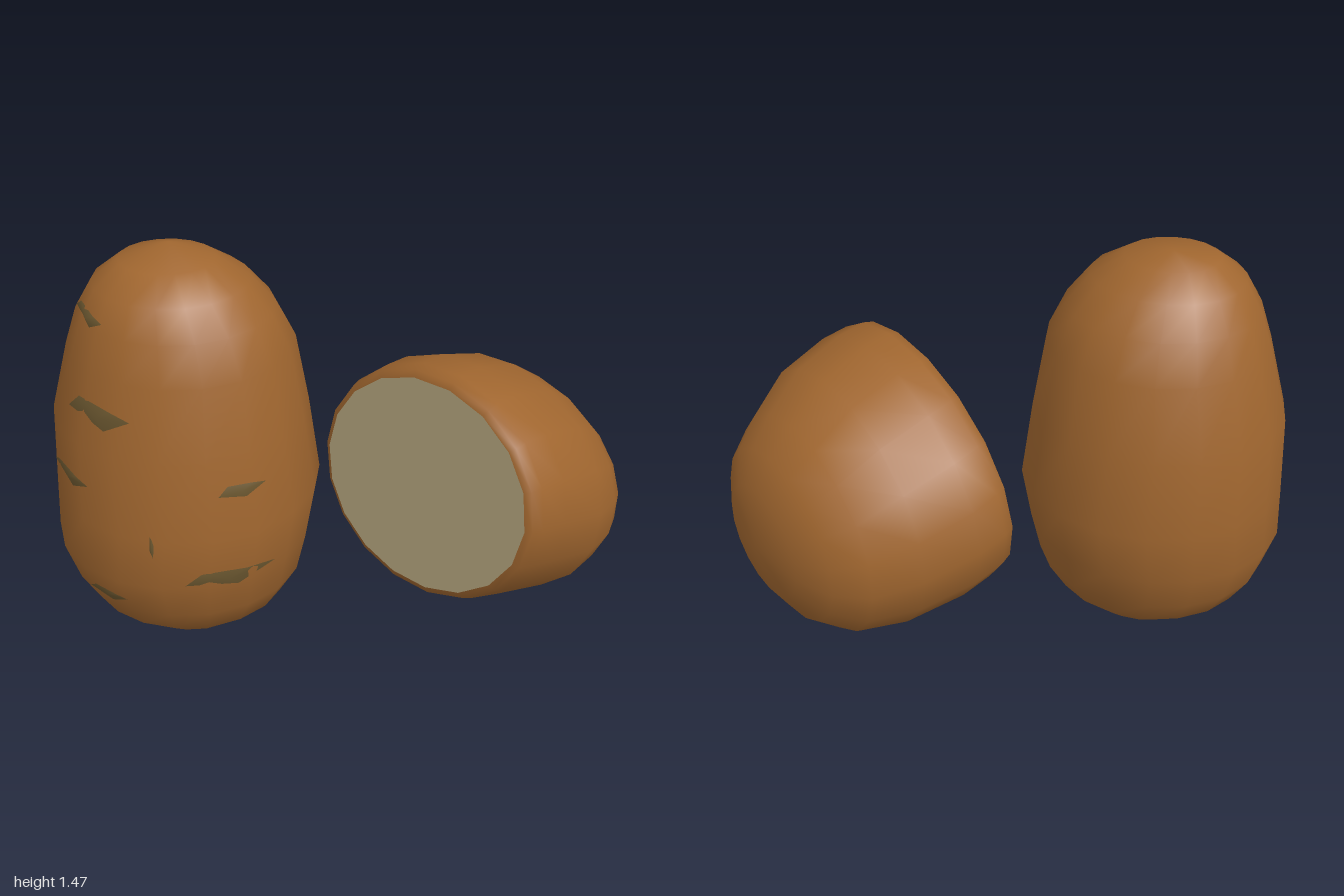
import * as THREE from 'three';
import { mergeVertices } from 'three/addons/utils/BufferGeometryUtils.js';

const SIDES = 18;
const skinMat = new THREE.MeshStandardMaterial({ color: 0xa0662f });
const fleshMat = new THREE.MeshStandardMaterial({ color: 0xb8a880 });
const eyeMat = new THREE.MeshStandardMaterial({ color: 0x6b5730, side: THREE.DoubleSide });

// Skin stretched over closed rings; point(row, angle) gives each vertex
function loft(rows, point) {
  const pos = [], index = [];
  rows.forEach((row, i) => {
    for (let j = 0; j < SIDES; j++) {
      pos.push(...point(row, (j / SIDES) * Math.PI * 2));
      if (i === 0) continue;
      const k = (j + 1) % SIDES, lo = (i - 1) * SIDES, hi = i * SIDES;
      index.push(lo + j, lo + k, hi + k, lo + j, hi + k, hi + j);
    }
  });
  const geo = new THREE.BufferGeometry();
  geo.setAttribute('position', new THREE.Float32BufferAttribute(pos, 3));
  geo.setIndex(index);
  const merged = mergeVertices(geo, 1e-4);
  merged.computeVertexNormals();
  return merged;
}

function add(parent, name, geo, mat) {
  const mesh = new THREE.Mesh(geo, mat);
  mesh.name = name;
  parent.add(mesh);
}

// Whole potato: height, left/right x, back/front z
const WHOLE = [
  [0.0, -0.54, -0.54, 0.08, 0.08],
  [0.005, -0.63, -0.46, 0.0, 0.18],
  [0.05, -0.74, -0.32, -0.1, 0.31],
  [0.14, -0.89, -0.2, -0.2, 0.41],
  [0.25, -0.955, -0.135, -0.27, 0.475],
  [0.4, -1.0, -0.1, -0.32, 0.52],
  [0.6, -0.99, -0.065, -0.35, 0.53],
  [0.88, -0.975, -0.1, -0.32, 0.49],
  [1.13, -0.905, -0.14, -0.26, 0.44],
  [1.26, -0.86, -0.2, -0.2, 0.39],
  [1.36, -0.8, -0.28, -0.13, 0.34],
  [1.43, -0.71, -0.39, -0.04, 0.24],
  [1.465, -0.55, -0.55, 0.06, 0.06],
];

function wholePoint([y, x0, x1, z0, z1], a) {
  return [(x0 + x1) / 2 + ((x1 - x0) / 2) * Math.sin(a), y, (z0 + z1) / 2 + ((z1 - z0) / 2) * Math.cos(a)];
}

// Point on the front of the whole potato at a given x and y
function onFront(x, y, lift) {
  const i = WHOLE.findIndex((r) => r[0] > y);
  const lo = WHOLE[i - 1], hi = WHOLE[i];
  const t = (y - lo[0]) / (hi[0] - lo[0]);
  const [, x0, x1, z0, z1] = lo.map((v, n) => v + (hi[n] - v) * t);
  const s = THREE.MathUtils.clamp((x - (x0 + x1) / 2) / ((x1 - x0) / 2), -0.995, 0.995);
  const a = Math.asin(s);
  const p = wholePoint([y, x0, x1, z0, z1], a);
  return [p[0] + Math.sin(a) * lift, y, p[2] + Math.cos(a) * lift];
}

// Eyes: x, y, width, height
const EYES = [
  [-0.78, 1.285, 0.12, 0.04],
  [-0.74, 1.005, 0.23, 0.08],
  [-0.87, 0.74, 0.16, 0.05],
  [-0.28, 0.765, 0.14, 0.05],
  [-0.33, 0.43, 0.28, 0.07],
  [-0.76, 0.305, 0.15, 0.05],
  [-0.57, 0.58, 0.015, 0.09],
];

function eyeGeometry([x, y, w, h]) {
  const outline = [[-0.5, -0.15], [0.1, -0.5], [0.5, 0.1], [0.2, 0.35], [-0.3, 0.5]];
  const pos = [...onFront(x, y, 0.008)], index = [];
  outline.forEach(([u, v], i) => {
    pos.push(...onFront(x + u * w, y + v * h, 0.003));
    index.push(0, i + 1, ((i + 1) % outline.length) + 1);
  });
  const geo = new THREE.BufferGeometry();
  geo.setAttribute('position', new THREE.Float32BufferAttribute(pos, 3));
  geo.setIndex(index);
  geo.computeVertexNormals();
  return geo;
}

// Half potato: depth behind the cut, low/high across, low/high y
const HALF = [
  [0.0, -0.48, 0.48, 0.2, 1.02],
  [0.01, -0.505, 0.505, 0.175, 1.045],
  [0.05, -0.52, 0.515, 0.155, 1.055],
  [0.16, -0.53, 0.52, 0.12, 1.045],
  [0.36, -0.49, 0.51, 0.07, 0.98],
  [0.52, -0.417, 0.445, 0.08, 0.87],
  [0.615, -0.318, 0.385, 0.14, 0.77],
  [0.675, -0.18, 0.27, 0.24, 0.65],
  [0.71, 0.04, 0.04, 0.44, 0.44],
];

// Cut plane is turned 45 degrees and leans back a little
function halfPoint([depth, u0, u1, y0, y1], a) {
  const fade = 1 - depth / 0.71;
  const rise = ((y1 - y0) / 2) * Math.cos(a);
  const u = (u0 + u1) / 2 + ((u1 - u0) / 2) * Math.sin(a) + 0.22 * fade * rise;
  const s = depth + 0.08 * fade * rise;
  return [0.29 + (u + s) * Math.SQRT1_2, (y0 + y1) / 2 + rise, 0.125 + (u - s) * Math.SQRT1_2];
}

export function createModel() {
  const model = new THREE.Group();
  model.name = 'potatoes';

  const whole = new THREE.Group();
  whole.name = 'wholePotato';
  add(whole, 'wholeSkin', loft(WHOLE, wholePoint), skinMat);
  EYES.forEach((eye) => add(whole, 'eye', eyeGeometry(eye), eyeMat));

  const half = new THREE.Group();
  half.name = 'halfPotato';
  add(half, 'halfSkin', loft(HALF, halfPoint), skinMat);
  // Flat cut face, from its centre out to the rim
  const centre = [0, 0, 0, 0.61, 0.61];
  add(half, 'cutFlesh', loft([centre, HALF[0]], halfPoint), fleshMat);

  model.add(whole, half);
  return model;
}
